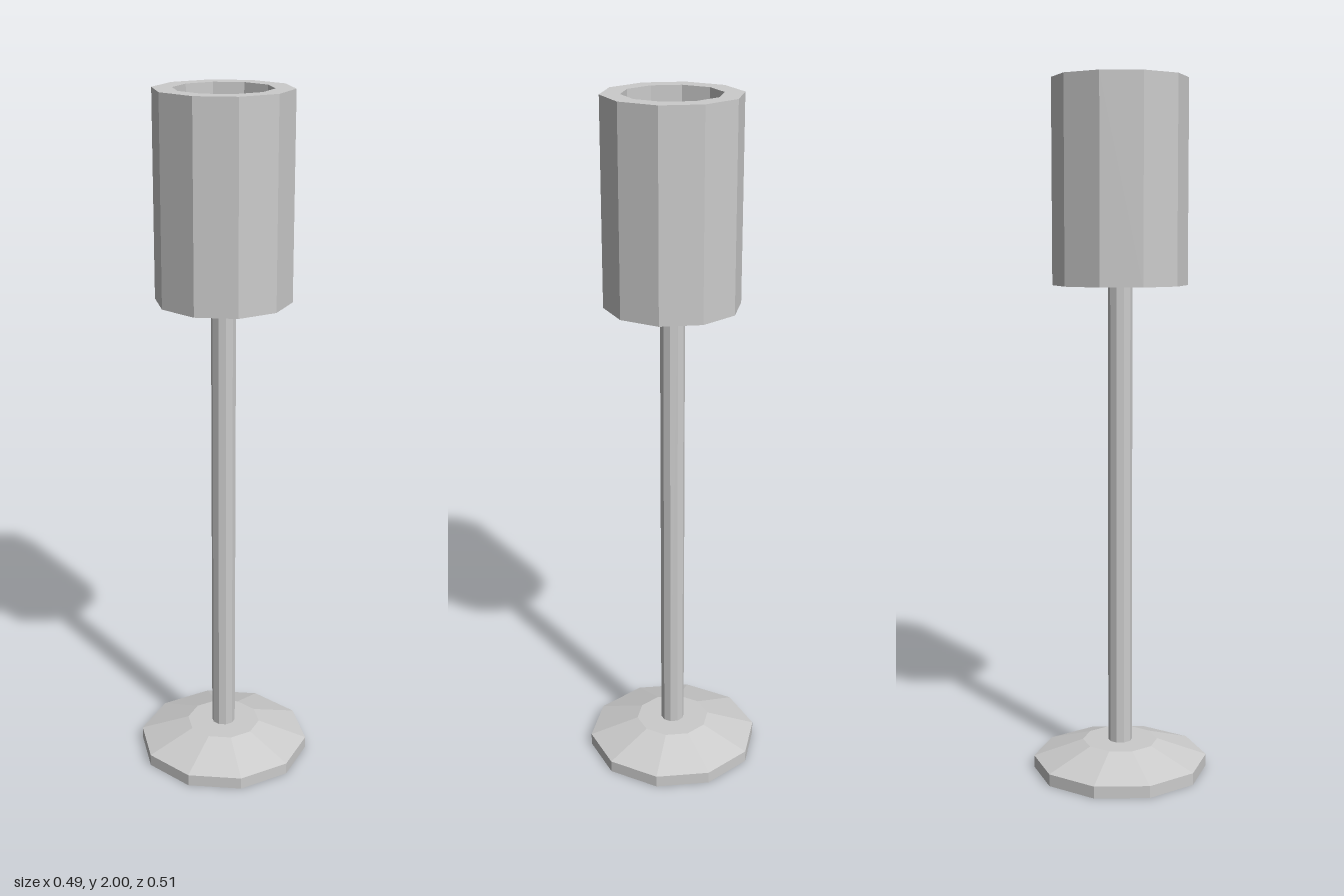
import * as THREE from 'three';

const SIDES = 10;

// Turned low-poly part from [radius, y] points, listed from the bottom up along the outside
function turned(name, profile, material) {
  const points = profile.map(([r, y]) => new THREE.Vector2(r, y));
  const mesh = new THREE.Mesh(new THREE.LatheGeometry(points, SIDES), material);
  mesh.name = name;
  return mesh;
}

export function createModel() {
  const material = new THREE.MeshStandardMaterial({ color: 0xcccccc, flatShading: true });
  const model = new THREE.Group();
  model.name = 'floorLamp';

  // Foot: thin rim, sloping shoulder and small flat top
  model.add(turned('base', [[0, 0], [0.255, 0], [0.255, 0.035], [0.11, 0.085], [0, 0.085]], material));

  // Slim pole from the foot to the shade
  const pole = new THREE.Mesh(new THREE.CylinderGeometry(0.035, 0.035, 1.345, SIDES, 1, true), material);
  pole.name = 'pole';
  pole.position.y = 0.08 + 1.345 / 2;
  model.add(pole);

  // Thick-walled shade, open at the top with a closed floor
  model.add(turned('shade', [
    [0, 1.425], [0.192, 1.425], [0.192, 2], [0.137, 2], [0.137, 1.48], [0, 1.48],
  ], material));

  return model;
}
